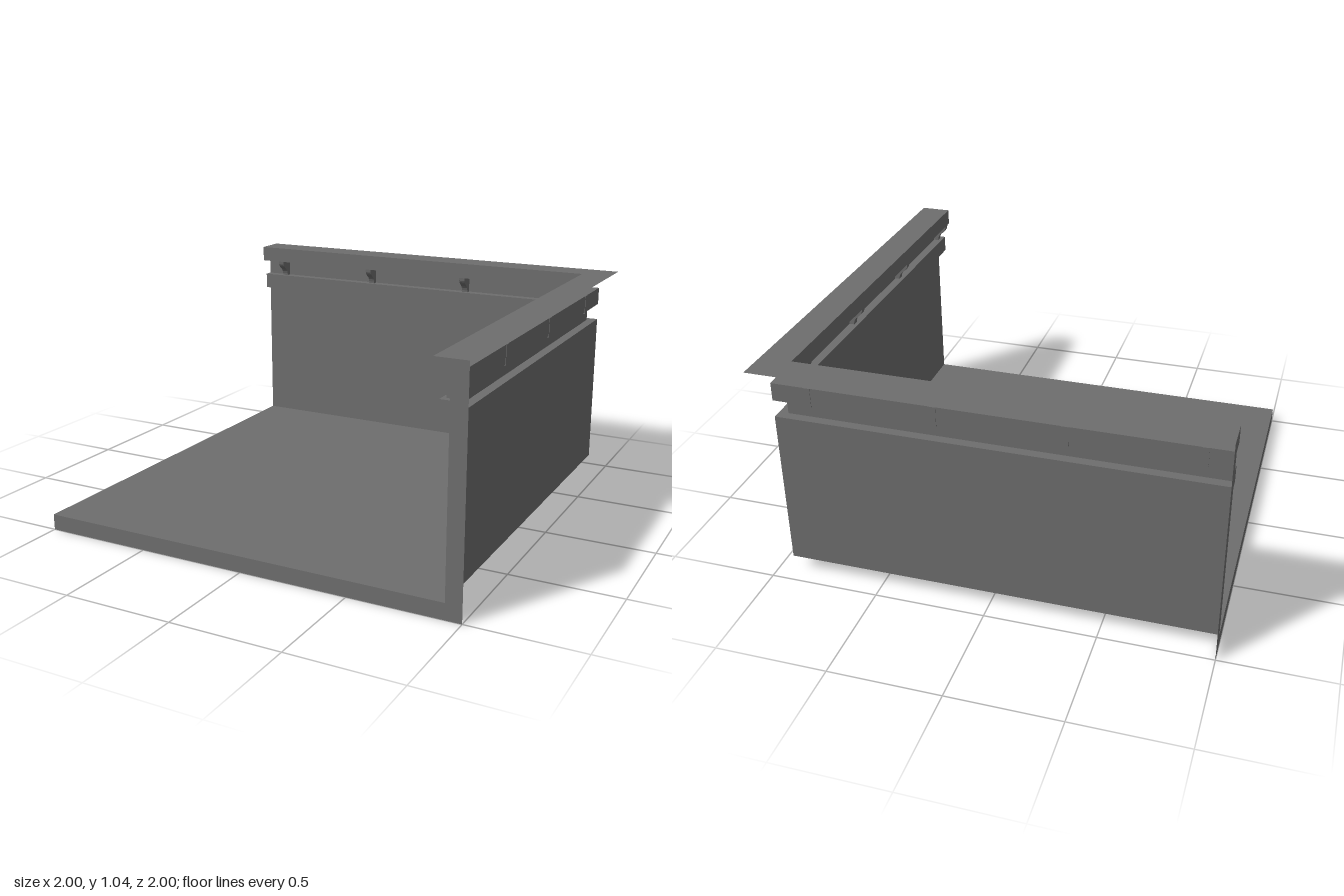
import * as THREE from 'three';

export function createModel() {
  const model = new THREE.Group();
  const mat = new THREE.MeshStandardMaterial({ color: 0x6e6e6e, flatShading: true, side: THREE.DoubleSide });
  const add = (name, geo) => {
    const mesh = new THREE.Mesh(geo, mat);
    mesh.name = name;
    model.add(mesh);
    return mesh;
  };

  // Wall profile from the outer top edge down to the floor: [distance in from the outer edge, height]
  const TOP = 1.036, FLOOR = 0.073, T = 0.073;
  const profile = [
    [0, TOP], [0.143, TOP], [0.143, 0.96], [T, 0.96], [T, 0.878],
    [0.115, 0.878], [0.115, 0.8], [T, 0.8], [T, FLOOR],
  ];

  // Open shell swept along the two walls, mitred at the corner
  const strip = (a, b) => {
    const path = ([d, y]) => [[1 - d, y, 1], [1 - d, y, d - 1], [-1, y, d - 1]];
    const p = path(a), q = path(b), pos = [];
    for (let i = 0; i < 2; i++) {
      pos.push(...p[i], ...p[i + 1], ...q[i], ...p[i + 1], ...q[i + 1], ...q[i]);
    }
    const geo = new THREE.BufferGeometry();
    geo.setAttribute('position', new THREE.Float32BufferAttribute(pos, 3));
    geo.computeVertexNormals();
    return geo;
  };
  const names = ['wallTop', 'corniceFace', 'corniceUnderside', 'friezePanel', 'ledgeTop',
    'ledgeFace', 'ledgeUnderside', 'wallPanel'];
  names.forEach((name, i) => add(name, strip(profile[i], profile[i + 1])));

  // Floor surface
  const floor = add('floor', new THREE.PlaneGeometry(2 - T, 2 - T).rotateX(-Math.PI / 2));
  floor.position.set(-T / 2, FLOOR, T / 2);

  // Cut ends: floor edge and wall section in one outline
  const section = new THREE.Shape();
  section.moveTo(-1, 0);
  section.lineTo(1, 0);
  profile.forEach(([d, y]) => section.lineTo(1 - d, y));
  section.lineTo(-1, FLOOR);
  const endGeo = new THREE.ShapeGeometry(section);
  add('frontEnd', endGeo).position.z = 1;
  const sideEnd = add('sideEnd', endGeo);
  sideEnd.rotation.y = Math.PI / 2;
  sideEnd.position.x = -1;

  // Small curved brackets under the cornice, set slightly into the frieze and ledge
  const b = new THREE.Shape();
  b.moveTo(0.929, 0.96);
  b.lineTo(0.857, 0.96);
  b.lineTo(0.859, 0.945);
  b.quadraticCurveTo(0.866, 0.928, 0.88, 0.92);
  b.quadraticCurveTo(0.903, 0.906, 0.904, 0.872);
  b.lineTo(0.929, 0.872);
  const bracketGeo = new THREE.ExtrudeGeometry(b, { depth: 0.03, bevelEnabled: false, curveSegments: 4 });
  bracketGeo.translate(0, 0, -0.015);
  for (let i = 0; i < 4; i++) {
    add('sideBracket', bracketGeo).position.z = 0.96 - i * 0.555;
    const back = add('backBracket', bracketGeo);
    back.rotation.y = Math.PI / 2;
    back.position.x = -0.885 + i * 0.55;
  }
  return model;
}
